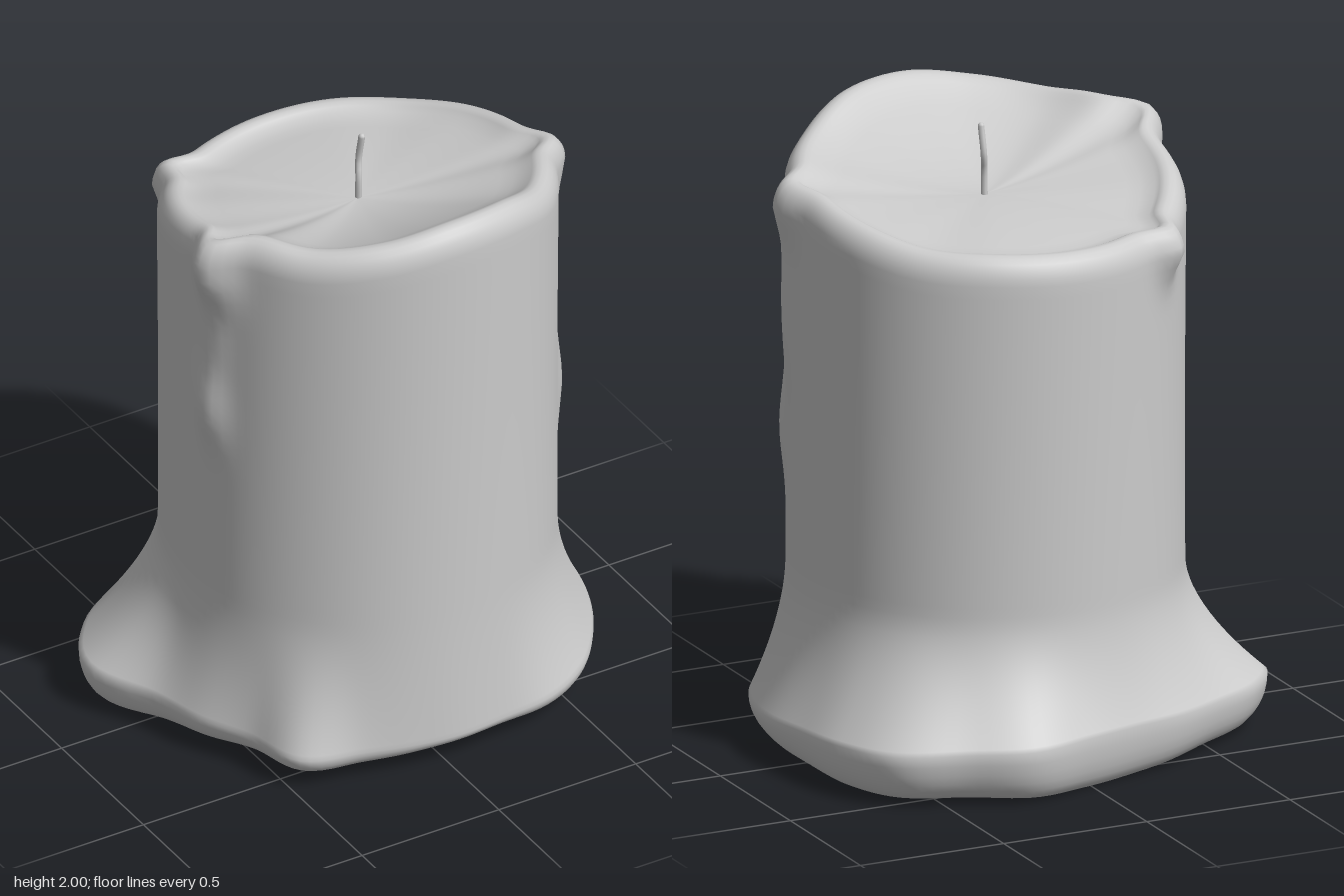
import * as THREE from 'three';

const CX = 0.04, CZ = 0.07, R = 0.632, SEG = 144;
const rad = THREE.MathUtils.degToRad;

// Values evenly spaced round the candle, starting at the front and turning towards +x
const RIM = [2.0, 1.98, 1.91, 1.88, 1.84, 1.80, 1.76, 1.75, 1.74, 1.74, 1.76, 1.82, 1.87, 1.94, 1.94, 1.97];
const FOOT = [0.64, 0.65, 0.70, 0.73, 0.74, 0.75, 0.76, 0.77, 0.825, 0.875, 0.83, 0.825,
  0.75, 0.725, 0.75, 0.785, 0.86, 0.885, 0.75, 0.71, 0.685, 0.74, 0.665, 0.64];

// Smooth closed interpolation of such a table
function around(table, a) {
  const n = table.length, f = (a / (2 * Math.PI)) * n, i = Math.floor(f), t = f - i;
  const [p, q, r, s] = [-1, 0, 1, 2].map(k => table[(i + k + n) % n]);
  return q + 0.5 * t * (r - p + t * (2 * p - 5 * q + 4 * r - s + t * (3 * (q - r) + s - p)));
}

const bell = (d, w) => Math.exp(-(d * d) / (w * w));
const angleGap = (a, deg) => Math.atan2(Math.sin(a - rad(deg)), Math.cos(a - rad(deg)));

// Wax runs: [angle, height, angular width, vertical width, thickness]
const DRIPS = [
  [79, 1.82, 0.12, 0.14, 0.055], [77, 1.45, 0.10, 0.30, 0.028], [68, 1.02, 0.09, 0.16, 0.022],
  [284.5, 1.82, 0.12, 0.14, 0.085], [283, 1.55, 0.10, 0.15, 0.02], [282, 1.27, 0.10, 0.15, 0.04],
  [218, 1.69, 0.10, 0.10, 0.065],
];
const dripAt = (a, y) => DRIPS.reduce(
  (sum, [deg, h, w, v, t]) => sum + t * bell(angleGap(a, deg), w) * bell(y - h, v), 0);

// Column with the spread foot
const widestY = a => 0.145 - 0.04 * Math.cos(a);
function sideRadius(a, y) {
  const body = R - 0.006 * Math.sin(Math.PI * Math.min(1, y / 1.9));
  const s = Math.min(1, Math.max(0, (0.56 - y) / (0.56 - widestY(a))));
  return body + (around(FOOT, a) - body) * Math.pow(s, 1.8) + dripAt(a, y);
}

// Cross-sections from the underside centre, up the side, over the lip to the pool centre
function makeRows() {
  const rows = [];
  const floorY = a => 0.032 + 0.024 * Math.cos(a) + 0.007 * Math.sin(5 * a + 1);
  for (const f of [0, 0.3, 0.6, 0.8]) {
    rows.push(a => [around(FOOT, a) * f, 0.035 + (floorY(a) - 0.035) * f]);
  }
  for (let k = 0; k < 7; k++) {
    const t = (k / 7) * Math.PI / 2;
    rows.push(a => [around(FOOT, a) * (0.9 + 0.1 * Math.sin(t)),
      widestY(a) - (widestY(a) - floorY(a)) * Math.cos(t)]);
  }
  for (let k = 0; k <= 44; k++) {
    const u = Math.pow(k / 44, 1.25);
    rows.push(a => {
      const y = widestY(a) + (around(RIM, a) - 0.09 - widestY(a)) * u;
      return [sideRadius(a, y), y];
    });
  }
  for (let k = 1; k <= 8; k++) {
    const t = (k / 8) * Math.PI * 0.72;
    rows.push(a => {
      const top = around(RIM, a), y = top - 0.09 + 0.09 * Math.sin(t);
      return [sideRadius(a, top - 0.09) - 0.06 * (1 - Math.cos(t)), y];
    });
  }
  for (let k = 1; k <= 12; k++) {
    const f = 1 - k / 12;
    rows.push(a => {
      const top = around(RIM, a);
      const edge = sideRadius(a, top - 0.09) - 0.06 * (1 - Math.cos(Math.PI * 0.72));
      return [edge * f, 1.765 + (top - 0.03 - 1.765) * Math.pow(f, 1.6)];
    });
  }
  return rows;
}

function waxGeometry() {
  const rows = makeRows(), pos = [], index = [];
  rows.forEach((row, j) => {
    for (let i = 0; i < SEG; i++) {
      const a = (i / SEG) * 2 * Math.PI, [r, y] = row(a);
      pos.push(CX + r * Math.sin(a), y, CZ + r * Math.cos(a));
      if (j === rows.length - 1) continue;
      const p = j * SEG + i, q = j * SEG + (i + 1) % SEG;
      index.push(p, q, p + SEG, q, q + SEG, p + SEG);
    }
  });
  const g = new THREE.BufferGeometry();
  g.setAttribute('position', new THREE.Float32BufferAttribute(pos, 3));
  g.setIndex(index);
  g.computeVertexNormals();
  return g;
}

export function createModel() {
  const group = new THREE.Group();
  group.name = 'candle';
  const material = new THREE.MeshStandardMaterial({ color: 0xcccccc });

  const wax = new THREE.Mesh(waxGeometry(), material);
  wax.name = 'wax';
  group.add(wax);

  // Slightly bent wick with a closed tip
  const path = new THREE.CatmullRomCurve3([
    new THREE.Vector3(0.045, 1.74, 0.066), new THREE.Vector3(0.045, 1.84, 0.068),
    new THREE.Vector3(0.052, 1.90, 0.056), new THREE.Vector3(0.055, 1.99, 0.07),
  ]);
  const wick = new THREE.Mesh(new THREE.TubeGeometry(path, 12, 0.011, 8), material);
  wick.name = 'wick';
  const tip = new THREE.Mesh(new THREE.SphereGeometry(0.011, 8, 6), material);
  tip.name = 'wickTip';
  tip.position.copy(path.getPoint(1));
  group.add(wick, tip);
  return group;
}
